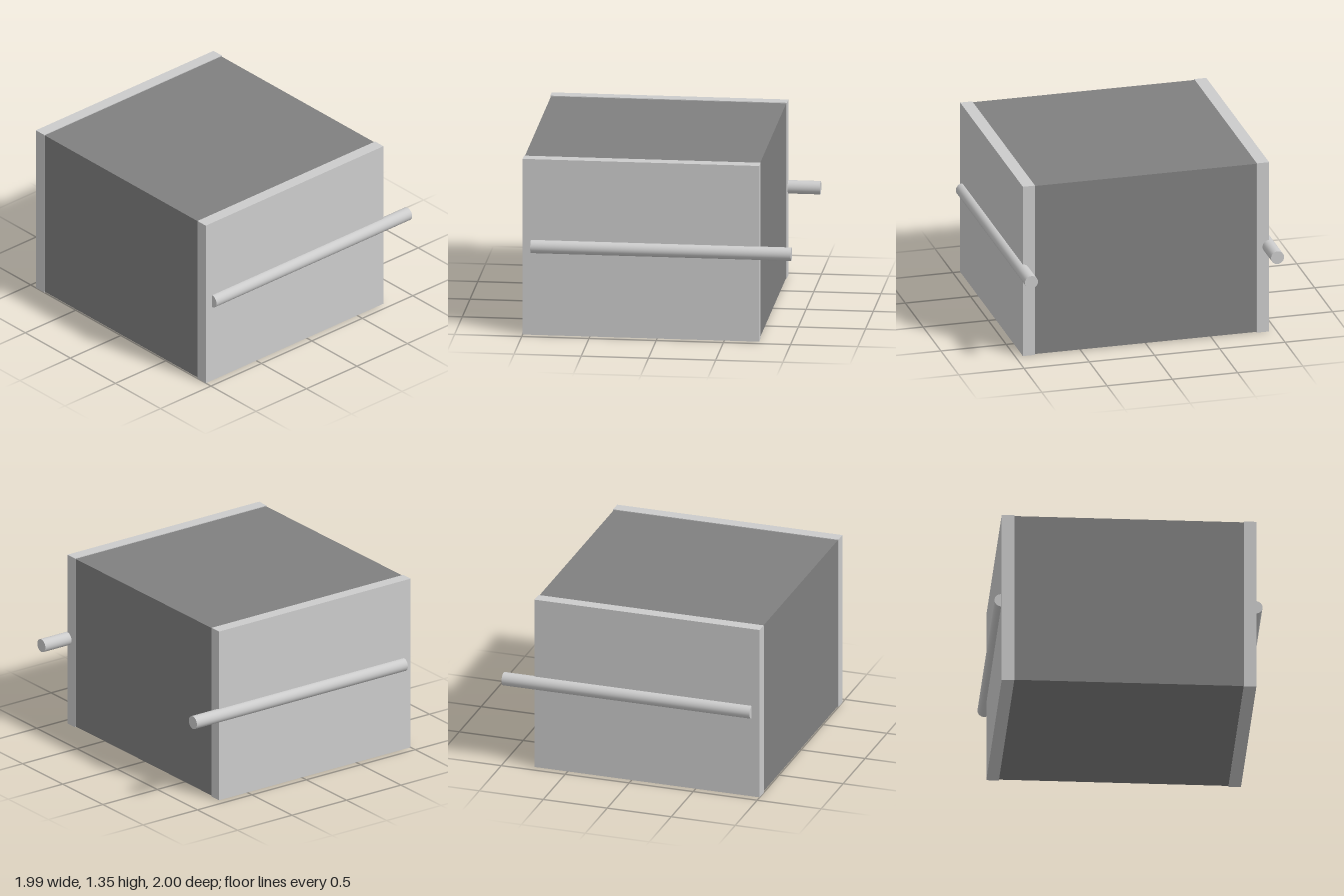
import * as THREE from 'three';

export function createModel() {
  const model = new THREE.Group();
  const grey = new THREE.MeshStandardMaterial({ color: 0xcccccc });
  const dark = new THREE.MeshStandardMaterial({ color: 0x808080 });

  function add(name, geometry, material, x, y, z) {
    const mesh = new THREE.Mesh(geometry, material);
    mesh.name = name;
    mesh.position.set(x, y, z);
    model.add(mesh);
  }

  // Dark block, set in very slightly from the edges of the side panels
  add('body', new THREE.BoxGeometry(1.7, 1.335, 1.75), dark, 0, 0.6725, 0.12);

  // Side panels, each with a long rod half sunk into its outer face
  const panel = new THREE.BoxGeometry(0.093, 1.345, 1.76);
  const rod = new THREE.CylinderGeometry(0.05, 0.05, 1.938, 32).rotateX(Math.PI / 2);
  for (const [side, s] of [['left', 1], ['right', -1]]) {
    add(side + 'Panel', panel, grey, s * 0.8965, 0.6725, 0.12);
    add(side + 'Rod', rod, grey, s * 0.943, 0.677, -0.031);
  }
  return model;
}
